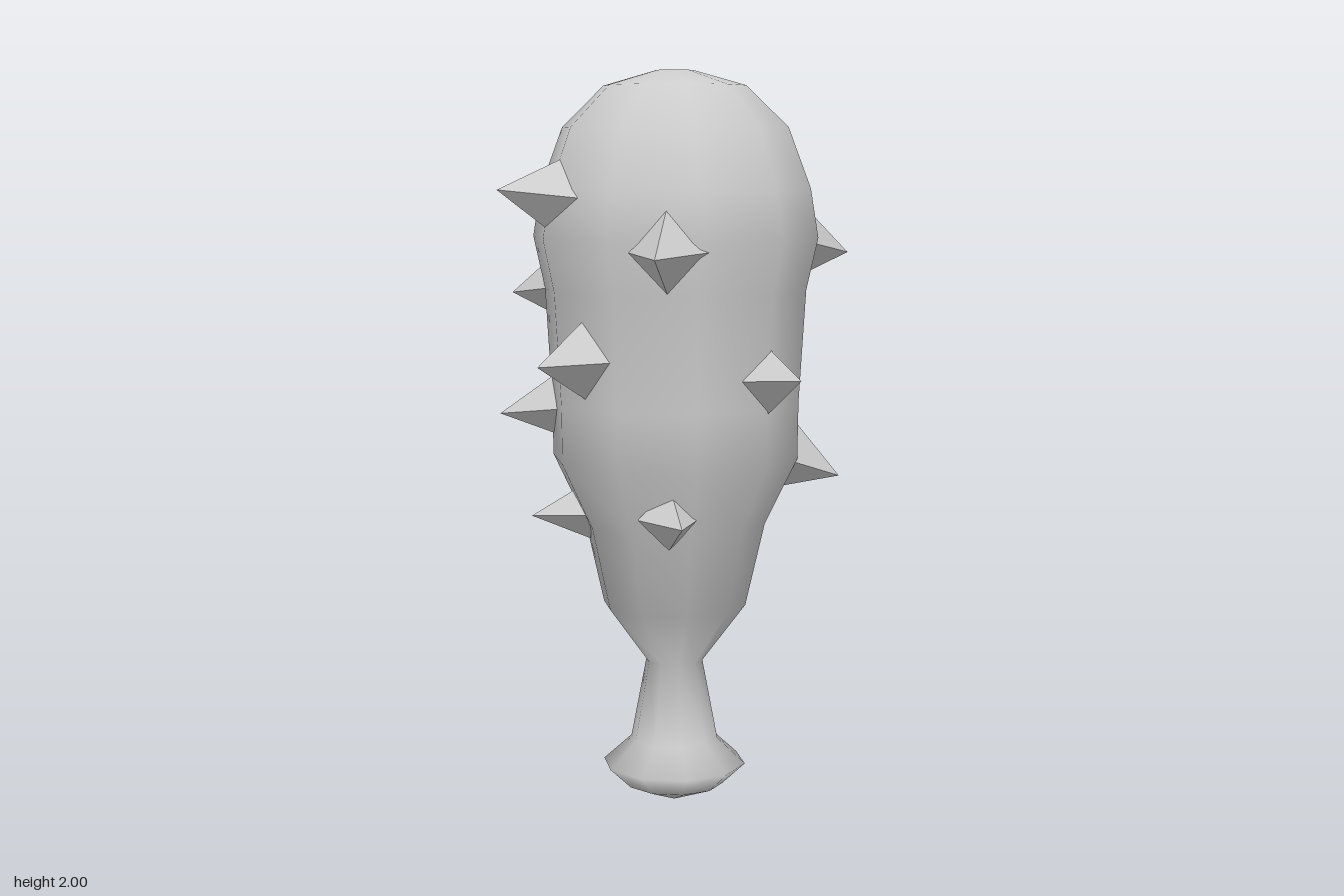
import * as THREE from 'three';

const Z0 = 0.014; // body axis offset

export function createModel() {
  const group = new THREE.Group();
  group.name = 'spikedClub';
  const smooth = new THREE.MeshStandardMaterial({ color: 0xcccccc });
  const flat = new THREE.MeshStandardMaterial({ color: 0xcccccc, flatShading: true });

  // Ten-sided club: pommel, narrow grip and swollen head in one profile
  const profile = [
    [0, 0], [0.135, 0.052], [0.197, 0.11], [0.12, 0.18], [0.078, 0.4],
    [0.196, 0.558], [0.248, 0.785], [0.335, 0.965], [0.337, 1.12], [0.355, 1.42],
    [0.386, 1.56], [0.365, 1.69], [0.305, 1.85], [0.192, 1.96], [0.05, 2], [0, 2],
  ].map(([r, y]) => new THREE.Vector2(r, y));
  const body = new THREE.Mesh(new THREE.LatheGeometry(profile, 10, Math.PI / 2), smooth);
  body.name = 'clubBody';
  body.position.z = Z0;
  group.add(body);

  // Four-sided spikes: base centre, tip, base half-width
  const spikes = [
    [[-0.34, 1.67, 0.015], [-0.515, 1.69, 0.015], 0.1],
    [[0.345, 1.54, 0.075], [0.51, 1.51, 0.075], 0.105],
    [[0.32, 1.22, -0.1], [0.47, 1.2, -0.13], 0.093],
    [[0.275, 0.965, 0.125], [0.42, 0.905, 0.185], 0.098],
    [[-0.325, 1.25, 0.11], [-0.475, 1.245, 0.17], 0.095],
    [[-0.235, 0.82, -0.07], [-0.365, 0.81, -0.12], 0.07],
    [[-0.275, 1.1, -0.16], [-0.41, 1.08, -0.225], 0.08],
    [[-0.185, 1.535, 0.32], [-0.285, 1.525, 0.45], 0.1],
    [[0.11, 1.2, 0.335], [0.12, 1.21, 0.477], 0.083],
    [[0.12, 1.55, -0.33], [0.16, 1.52, -0.48], 0.1],
    [[-0.015, 1.205, -0.305], [-0.015, 1.185, -0.455], 0.083],
    [[0.075, 0.91, -0.26], [0.1, 0.92, -0.39], 0.083],
    [[-0.225, 1.42, -0.235], [-0.32, 1.4, -0.34], 0.09],
    [[-0.13, 0.835, 0.24], [-0.16, 0.83, 0.36], 0.076],
  ];
  const sink = 0.015; // depth each base is buried
  for (const [base, tip, r] of spikes) {
    const b = new THREE.Vector3(...base), t = new THREE.Vector3(...tip);
    const length = b.distanceTo(t), full = length + sink;
    const geometry = new THREE.ConeGeometry(r * full / length, full, 4);
    geometry.rotateX(Math.PI / 2).translate(0, 0, full / 2 - sink);
    const spike = new THREE.Mesh(geometry, flat);
    spike.name = 'spike';
    spike.position.copy(b);
    spike.lookAt(t);
    group.add(spike);
  }
  return group;
}
